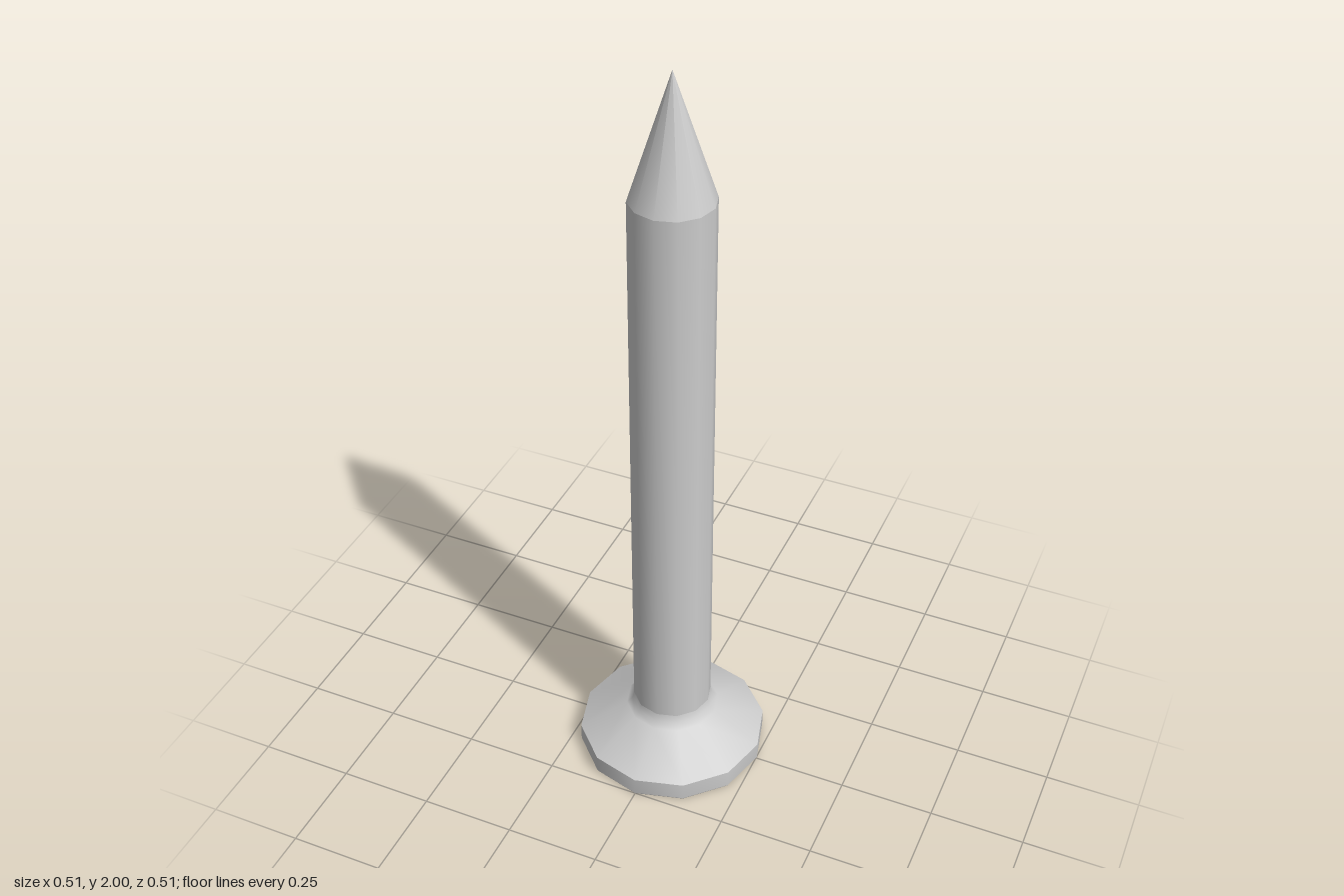
import * as THREE from 'three';

const SIDES = 12;

export function createModel() {
  const nail = new THREE.Group();
  nail.name = 'nail';
  const material = new THREE.MeshStandardMaterial({ color: 0xcccccc });

  // Each part is its own lathe, so shading is smooth within it and creased between parts
  const addPart = (name, profile) => {
    const points = profile.map(([r, y]) => new THREE.Vector2(r, y));
    const mesh = new THREE.Mesh(new THREE.LatheGeometry(points, SIDES), material);
    mesh.name = name;
    nail.add(mesh);
  };

  // Flat striking face with a tiny bevel at its edge
  addPart('headFace', [[0, 0], [0.25, 0]]);
  addPart('headRim', [[0.25, 0], [0.253, 0.005], [0.253, 0.053]]);

  // Sloped back of the head, curving into the shank
  addPart('headFlare', [[0.253, 0.053], [0.125, 0.13], [0.11, 0.145], [0.105, 0.165]]);
  addPart('shank', [[0.105, 0.165], [0.105, 1.685]]);
  addPart('point', [[0.105, 1.685], [0, 2]]);

  return nail;
}
